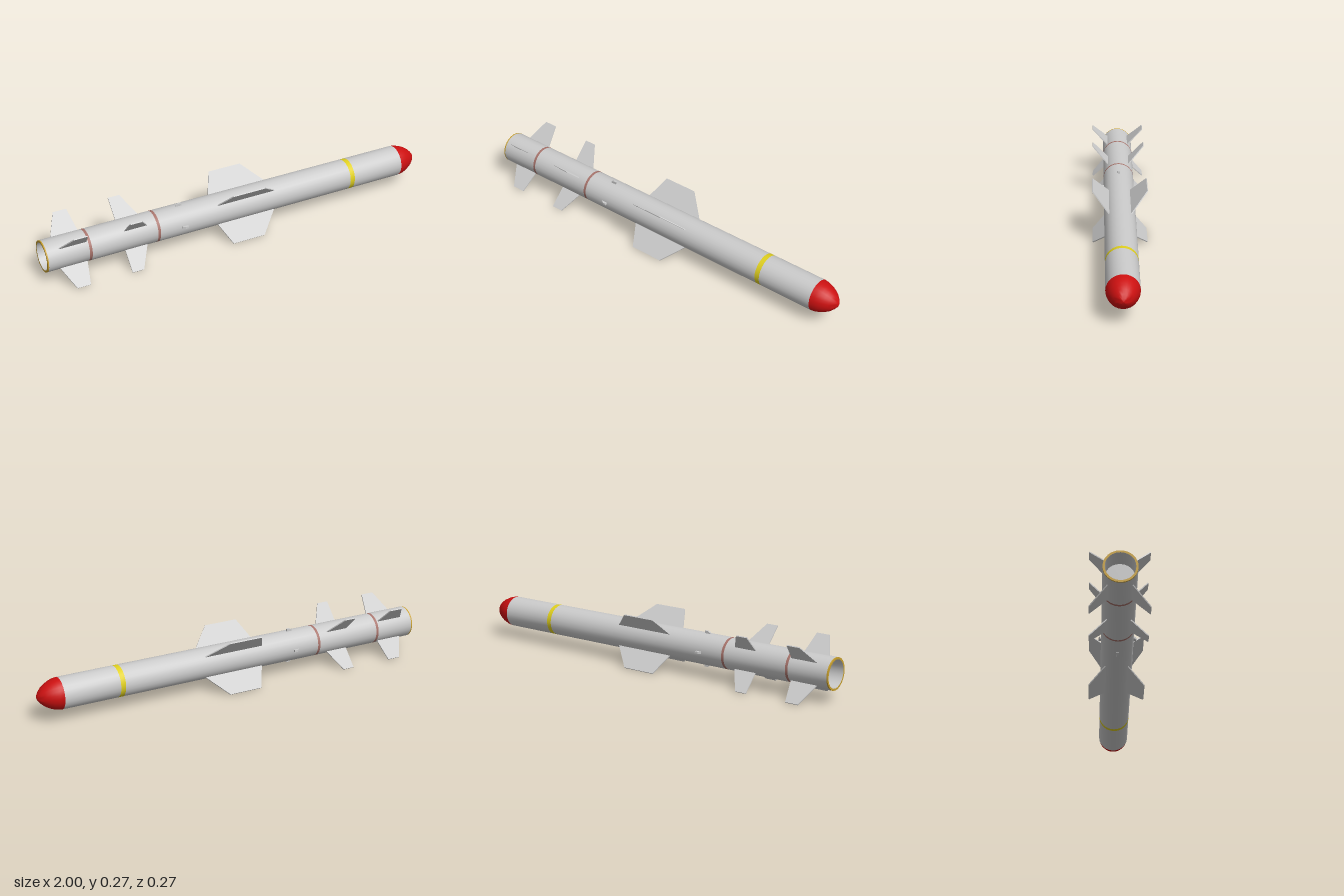
import * as THREE from 'three';
import { toCreasedNormals } from 'three/addons/utils/BufferGeometryUtils.js';

const R = 0.0755, AXIS_Y = 0.133, SIDES = 24;
const mat = (color) => new THREE.MeshStandardMaterial({ color });
const grey = mat(0xcccccc), red = mat(0xcc1010), yellow = mat(0xe0d020);
const rust = mat(0xa8746c), gold = mat(0xc8a030);

function add(parent, name, geometry, material) {
  const mesh = new THREE.Mesh(geometry, material);
  mesh.name = name;
  parent.add(mesh);
  return mesh;
}

// Turned part along x; profile is a list of [x, radius]
function turned(profile) {
  const pts = profile.map(([x, r]) => new THREE.Vector2(r, x));
  const g = new THREE.LatheGeometry(pts, SIDES).rotateZ(-Math.PI / 2);
  return toCreasedNormals(g, 0.6);
}

// Flat plate in the x-y plane, y measured outward from the axis
function plate(points, thickness) {
  const shape = new THREE.Shape(points.map(([x, y]) => new THREE.Vector2(x, y)));
  return new THREE.ExtrudeGeometry(shape, { depth: thickness, bevelEnabled: false })
    .translate(0, 0, -thickness / 2);
}

export function createModel() {
  const model = new THREE.Group();
  model.name = 'missile';
  const body = new THREE.Group();
  body.name = 'airframe';
  body.position.y = AXIS_Y;
  model.add(body);

  // Cylindrical hull, split where the painted bands sit
  const sections = [
    ['tailSection', -0.994, -0.796, grey],
    ['rearBand', -0.796, -0.783, rust],
    ['controlSection', -0.783, -0.454, grey],
    ['middleBand', -0.454, -0.441, rust],
    ['mainSection', -0.441, 0.59, grey],
    ['frontBand', 0.59, 0.614, yellow],
    ['forwardSection', 0.614, 0.888, grey],
  ];
  for (const [name, a, b, m] of sections) add(body, name, turned([[a, R], [b, R]]), m);

  // Open tail: gold rim around a recessed bore
  add(body, 'tailRim', turned([[-1, 0.066], [-1, R], [-0.994, R]]), gold);
  add(body, 'tailBore', turned([[-0.9, 0], [-0.9, 0.066], [-1, 0.066]]), grey);

  // Rounded nose
  add(body, 'noseCone', turned([
    [0.888, R], [0.908, 0.073], [0.93, 0.066], [0.95, 0.056],
    [0.968, 0.044], [0.983, 0.029], [0.994, 0.014], [1, 0],
  ]), red);

  // Three sets of fins, four each, on the diagonals
  const tip = 0.185, root = 0.07;
  const finSets = [
    ['wing', [[-0.137, root], [0.174, root], [0.077, tip], [-0.09, tip]]],
    ['controlFin', [[-0.615, root], [-0.5, root], [-0.558, tip], [-0.615, tip]]],
    ['tailFin', [[-0.938, root], [-0.802, root], [-0.823, tip], [-0.888, tip]]],
  ];
  for (const [name, outline] of finSets) {
    const g = plate(outline, 0.005);
    for (let i = 0; i < 4; i++) {
      add(body, name, g, grey).rotation.x = Math.PI / 4 + i * Math.PI / 2;
    }
  }

  // Small lugs at the top, bottom and both sides
  const lug = plate([[-0.33, 0.07], [-0.302, 0.07], [-0.302, 0.087], [-0.318, 0.087], [-0.33, 0.08]], 0.01);
  for (let i = 0; i < 4; i++) add(body, 'lug', lug, grey).rotation.x = i * Math.PI / 2;

  return model;
}
